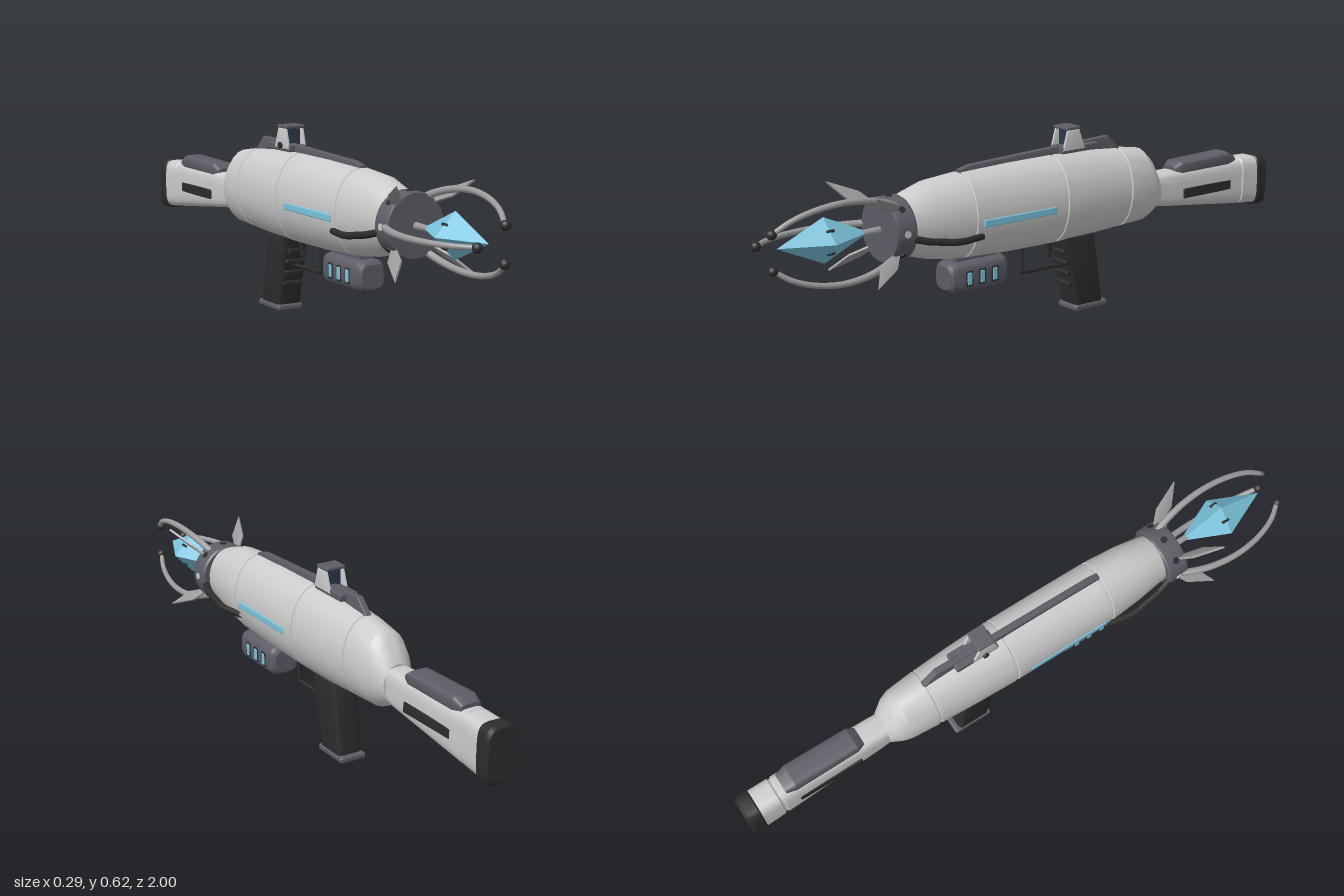
import * as THREE from 'three';
import { toCreasedNormals } from 'three/addons/utils/BufferGeometryUtils.js';
import { RoundedBoxGeometry } from 'three/addons/geometries/RoundedBoxGeometry.js';

const AXIS = 0.386; // height of the barrel axis

const mat = (color) => new THREE.MeshStandardMaterial({ color, side: THREE.DoubleSide });

// Skin over rounded sections along z, each [z, bottom, top, halfWidth]
function loft(sections, power = 2, sides = 24, crease = 0.4) {
  const rings = [...sections].sort((a, b) => a[0] - b[0]);
  const pos = [], idx = [];
  const soft = (v) => Math.sign(v) * Math.pow(Math.abs(v), 2 / power);
  for (const [z, lo, hi, w] of rings) {
    for (let j = 0; j < sides; j++) {
      const a = ((j + 0.5) / sides) * Math.PI * 2;
      pos.push(w * soft(Math.cos(a)), (lo + hi) / 2 + ((hi - lo) / 2) * soft(Math.sin(a)), z);
    }
  }
  const n = rings.length, last = (n - 1) * sides;
  for (const [z, lo, hi] of [rings[0], rings[n - 1]]) pos.push(0, (lo + hi) / 2, z);
  for (let j = 0; j < sides; j++) {
    const k = (j + 1) % sides;
    for (let i = 0; i < n - 1; i++) {
      const a = i * sides + j, b = i * sides + k;
      idx.push(a, b, b + sides, a, b + sides, a + sides);
    }
    idx.push(n * sides, k, j, n * sides + 1, last + j, last + k);
  }
  const g = new THREE.BufferGeometry();
  g.setAttribute('position', new THREE.Float32BufferAttribute(pos, 3));
  g.setIndex(idx);
  return toCreasedNormals(g, crease);
}

// Side outline of [z, y] points, given a width across x
function slab(points, width, bevel = 0.004) {
  const shape = new THREE.Shape(points.map(([z, y]) => new THREE.Vector2(z, y)));
  const g = new THREE.ExtrudeGeometry(shape, {
    depth: width - 2 * bevel, bevelEnabled: true, bevelThickness: bevel,
    bevelSize: bevel, bevelOffset: -bevel, bevelSegments: 3,
  });
  g.translate(0, 0, -(width / 2 - bevel));
  g.rotateY(-Math.PI / 2);
  return toCreasedNormals(g, 0.5);
}

// Straight-segment rod through [x, y, z] points
function rod(points, radius, sides = 8) {
  const path = new THREE.CurvePath();
  const v = points.map((p) => new THREE.Vector3(...p));
  for (let i = 0; i < v.length - 1; i++) path.add(new THREE.LineCurve3(v[i], v[i + 1]));
  return new THREE.TubeGeometry(path, 40, radius, sides);
}

export function createModel() {
  const root = new THREE.Group();
  root.name = 'energyRifle';
  const grey = mat(0xcccccc), dark = mat(0x5c5d66), black = mat(0x2c2c2c), blue = mat(0x7cc4de), metal = mat(0x9a9a9c);
  const add = (name, geometry, material, x = 0, y = 0, z = 0, parent = root) => {
    const m = new THREE.Mesh(geometry, material);
    m.name = name;
    m.position.set(x, y, z);
    parent.add(m);
    return m;
  };
  const box = (w, h, d, r = 0.004) => new RoundedBoxGeometry(w, h, d, 2, r);

  // Main housing, with narrow grooves between its panels
  const hull = [[0.535, 0.292, 0.48, 0.075], [0.5, 0.288, 0.492, 0.08], [0.43, 0.268, 0.514, 0.09],
    [0.31, 0.25, 0.524, 0.099], [0.13, 0.242, 0.53, 0.1], [-0.05, 0.24, 0.532, 0.1],
    [-0.2, 0.243, 0.528, 0.095], [-0.33, 0.25, 0.518, 0.088], [-0.43, 0.255, 0.503, 0.08],
    [-0.46, 0.268, 0.475, 0.071], [-0.495, 0.29, 0.415, 0.05]];
  const grooves = [0.31, -0.05, -0.33];
  const sections = hull.flatMap((s) => {
    if (!grooves.includes(s[0])) return [s];
    const [z, lo, hi, w] = s, d = 0.004;
    return [[z + 0.005, lo, hi, w], [z + 0.003, lo + d, hi - d, w - d],
      [z - 0.003, lo + d, hi - d, w - d], [z - 0.005, lo, hi, w]];
  });
  add('housing', loft(sections), grey);

  // Stock, butt pad and cheek rest
  add('stock', loft([[-0.47, 0.3, 0.405, 0.042], [-0.53, 0.29, 0.408, 0.045], [-0.6, 0.282, 0.409, 0.046],
    [-0.87, 0.25, 0.413, 0.05], [-0.874, 0.254, 0.409, 0.046], [-0.88, 0.254, 0.409, 0.046],
    [-0.884, 0.249, 0.413, 0.05], [-0.96, 0.24, 0.41, 0.051]], 4, 32), grey);
  add('buttPad', loft([[-0.95, 0.24, 0.41, 0.05], [-0.955, 0.234, 0.414, 0.054],
    [-0.99, 0.234, 0.414, 0.054], [-1, 0.243, 0.405, 0.046]], 4, 32), black);
  add('cheekRest', loft([[-0.575, 0.395, 0.42, 0.03], [-0.6, 0.39, 0.437, 0.04],
    [-0.82, 0.39, 0.443, 0.042], [-0.855, 0.395, 0.425, 0.034]], 4, 24), dark);
  for (const s of [1, -1]) {
    const panel = add('stockPanel', box(0.008, 0.034, 0.225), black, s * 0.0475, 0.329, -0.712);
    panel.rotation.y = s * 0.014;
  }

  // Top rail and sight
  add('topRail', slab([[0.31, 0.5], [0.31, 0.53], [0.27, 0.54], [-0.1, 0.555], [-0.29, 0.562],
    [-0.34, 0.515], [-0.34, 0.49]], 0.022), dark);
  add('sightBase', box(0.064, 0.022, 0.15), dark, 0, 0.541, -0.155);
  for (const s of [1, -1]) {
    add('sightWall', slab([[-0.082, 0.54], [-0.1, 0.604], [-0.148, 0.604], [-0.172, 0.54]], 0.008, 0.002), grey, s * 0.03, 0, 0);
  }
  add('sightLens', box(0.054, 0.06, 0.03), mat(0x2d3946), 0, 0.574, -0.125);
  add('sightCap', box(0.07, 0.011, 0.058), dark, 0, 0.61, -0.124);
  const knob = add('sightKnob', new THREE.CylinderGeometry(0.01, 0.01, 0.01, 12), black, -0.036, 0.549, -0.13);
  knob.rotation.z = Math.PI / 2;

  // Grip, finger ribs and foot
  add('grip', slab([[-0.08, 0.26], [-0.095, 0.2], [-0.135, 0.012], [-0.248, 0.012], [-0.21, 0.26]], 0.09, 0.018), black);
  for (let i = 0; i < 4; i++) {
    const y = 0.095 + i * 0.037;
    add('fingerRib', box(0.07, 0.015, 0.022), black, 0, y, -0.135 + (y - 0.012) * 0.213 + 0.001);
  }
  add('gripFoot', box(0.093, 0.021, 0.138, 0.008), dark, 0, 0.0105, -0.195);
  // Trigger and its guard
  add('triggerGuard', rod([[0, 0.25, 0.063], [0, 0.159, 0.063], [0, 0.157, -0.11]], 0.007), black);
  add('trigger', slab([[-0.035, 0.25], [-0.045, 0.215], [-0.04, 0.192], [-0.05, 0.19], [-0.06, 0.215], [-0.06, 0.25]], 0.014, 0.002), black);

  // Power cell below the front
  add('powerCell', loft([[0.37, 0.16, 0.233, 0.038], [0.362, 0.152, 0.242, 0.047], [0.345, 0.147, 0.247, 0.052],
    [0.17, 0.147, 0.247, 0.052], [0.157, 0.152, 0.242, 0.047], [0.15, 0.16, 0.233, 0.038]], 3.5, 32), dark);
  add('cellMount', box(0.05, 0.04, 0.16), dark, 0, 0.25, 0.26);
  add('cellCatch', box(0.02, 0.012, 0.03), black, 0, 0.147, 0.315);
  for (const s of [1, -1]) {
    for (const z of [0.307, 0.258, 0.209]) {
      add('cellFrame', box(0.008, 0.05, 0.028, 0.003), black, s * 0.0495, 0.194, z);
      add('cellLight', box(0.01, 0.04, 0.018, 0.003), blue, s * 0.0505, 0.194, z);
    }
    // Side light strip and bent cable
    add('sideLight', box(0.012, 0.024, 0.285), blue, s * 0.0965, 0.373, 0.142);
    add('sideCable', rod([[s * 0.085, 0.368, 0.545], [s * 0.099, 0.352, 0.49], [s * 0.11, 0.337, 0.4],
      [s * 0.107, 0.334, 0.36], [s * 0.09, 0.333, 0.285]], 0.011), black);
  }

  // Muzzle collar with round ports
  add('muzzleCollar', loft([[0.528, 0.291, 0.481, 0.095], [0.535, 0.286, 0.486, 0.1],
    [0.592, 0.286, 0.486, 0.1], [0.6, 0.289, 0.483, 0.097]], 2, 32), dark);
  for (let i = 0; i < 8; i++) {
    const a = (i * Math.PI) / 4;
    const port = add('collarPort', new THREE.CylinderGeometry(0.011, 0.011, 0.006, 14), i % 4 ? black : grey,
      Math.cos(a) * 0.099, AXIS + Math.sin(a) * 0.099, 0.565);
    port.rotation.z = a - Math.PI / 2;
  }

  // Crystal on its spindle
  add('spindle', new THREE.CylinderGeometry(0.009, 0.012, 0.1, 12).rotateX(Math.PI / 2), metal, 0, AXIS, 0.63);
  const crystal = new THREE.OctahedronGeometry(1).scale(0.07, 0.07, 0.157);
  add('crystal', crystal, blue, 0, AXIS, 0.793);
  for (const sx of [1, -1]) {
    for (const sy of [1, -1]) {
      const slot = add('crystalSlot', box(0.008, 0.008, 0.026, 0.002), black, sx * 0.0335, AXIS + sy * 0.0335, 0.79);
      slot.rotation.z = sx * sy * Math.PI / 4;
    }
  }

  // Three curved prongs, each with a ball tip
  const arc = new THREE.CatmullRomCurve3([[0.085, 0.565], [0.108, 0.61], [0.13, 0.68], [0.139, 0.77],
    [0.127, 0.86], [0.1, 0.93], [0.064, 0.978]].map(([r, z]) => new THREE.Vector3(r, 0, z)));
  const prongShape = new THREE.TubeGeometry(arc, 40, 0.012, 12);
  // Thin the tube toward its tip
  const p = prongShape.attributes.position, c = new THREE.Vector3(), v = new THREE.Vector3();
  for (let i = 0; i < p.count; i++) {
    const t = Math.floor(i / 13) / 40;
    arc.getPointAt(t, c);
    v.fromBufferAttribute(p, i).sub(c).multiplyScalar(1 - 0.35 * t).add(c);
    p.setXYZ(i, v.x, v.y, v.z);
  }
  for (const a of [1, 3, 5]) {
    const prong = new THREE.Group();
    prong.name = 'prong';
    prong.position.y = AXIS;
    prong.rotation.z = (a * Math.PI) / 3;
    add('prongArm', prongShape, metal, 0, 0, 0, prong);
    add('prongTip', new THREE.SphereGeometry(0.0155, 16, 12), black, 0.062, 0, 0.982, prong);
    root.add(prong);
  }

  // Four thin diagonal fins
  const finShape = slab([[0.57, 0.09], [0.605, 0.142], [0.697, 0.193], [0.655, 0.122], [0.592, 0.088]], 0.007, 0.001);
  for (let i = 0; i < 4; i++) {
    const fin = add('fin', finShape, metal, 0, AXIS, 0);
    fin.rotation.z = Math.PI / 4 + (i * Math.PI) / 2;
  }

  root.children.forEach((m) => { m.position.x += 0.005; });
  return root;
}
